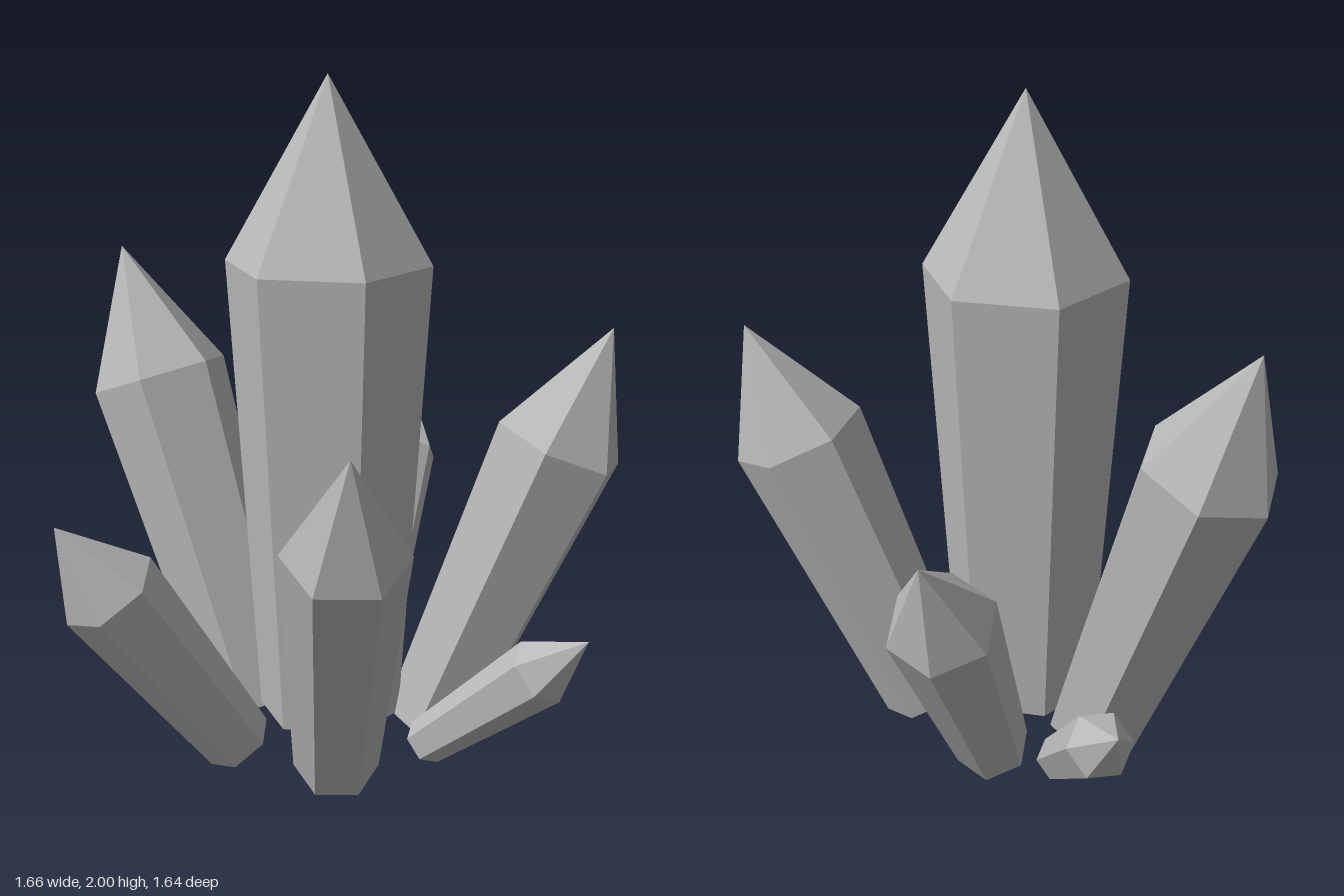
import * as THREE from 'three';

const V = (p) => new THREE.Vector3(...p);
const SHOULDER = 0.72; // share of the length where the tip begins
const TAPER = 0.7; // foot radius relative to shoulder radius

// foot centre, tip, shoulder radius, and a point one shoulder corner faces
const CRYSTALS = [
  { name: 'centralCrystal', foot: [-0.015, 0.105, 0.035], tip: [-0.015, 2, 0.04], radius: 0.3, corner: [0.28, 1.47, -0.02] },
  { name: 'tallRightCrystal', foot: [-0.28, 0.055, -0.03], tip: [-0.78, 1.43, -0.17], radius: 0.21, corner: [-0.84, 0.98, -0.2] },
  { name: 'tallLeftCrystal', foot: [0.26, 0.06, -0.08], tip: [0.75, 1.285, -0.238], radius: 0.198, corner: [0.775, 0.89, -0.1] },
  { name: 'frontLeftCrystal', foot: [0.11, 0.055, 0.3], tip: [0.34, 1.14, 0.79], radius: 0.176, corner: [0.445, 0.84, 0.585] },
  { name: 'frontRightCrystal', foot: [-0.2, 0.07, 0.29], tip: [-0.56, 0.82, 0.69], radius: 0.148, corner: [-0.59, 0.54, 0.5] },
  { name: 'backCrystal', foot: [-0.05, 0.07, -0.28], tip: [-0.09, 0.975, -0.823], radius: 0.16, corner: [-0.23, 0.685, -0.71] },
  { name: 'smallLeftCrystal', foot: [0.32, 0.085, 0.125], tip: [0.83, 0.53, 0.265], radius: 0.098, corner: [0.7, 0.37, 0.32] },
  { name: 'smallBackCrystal', foot: [-0.25, 0.06, -0.245], tip: [-0.578, 0.47, -0.637], radius: 0.098, corner: [-0.41, 0.36, -0.585] },
];

// six-sided tapered shaft with a flat foot and a pointed tip
function crystal({ name, foot, tip, radius, corner }, material) {
  const base = V(foot);
  const axis = V(tip).sub(base);
  const length = axis.length();
  axis.normalize();

  const profile = [
    [0, 0],
    [radius * TAPER, 0],
    [radius, length * SHOULDER],
    [0, length],
  ].map(([r, y]) => new THREE.Vector2(r, y));
  const mesh = new THREE.Mesh(new THREE.LatheGeometry(profile, 6), material);
  mesh.name = name;

  // stand it along its axis and turn it so a corner faces the given point
  const z = V(corner).sub(base).projectOnPlane(axis).normalize();
  const x = new THREE.Vector3().crossVectors(axis, z);
  mesh.quaternion.setFromRotationMatrix(new THREE.Matrix4().makeBasis(x, axis, z));
  mesh.position.copy(base);
  return mesh;
}

export function createModel() {
  const group = new THREE.Group();
  group.name = 'crystalCluster';
  const stone = new THREE.MeshStandardMaterial({ color: 0xb8b8b8, flatShading: true });
  stone.name = 'grey crystal';
  for (const c of CRYSTALS) group.add(crystal(c, stone));
  return group;
}
